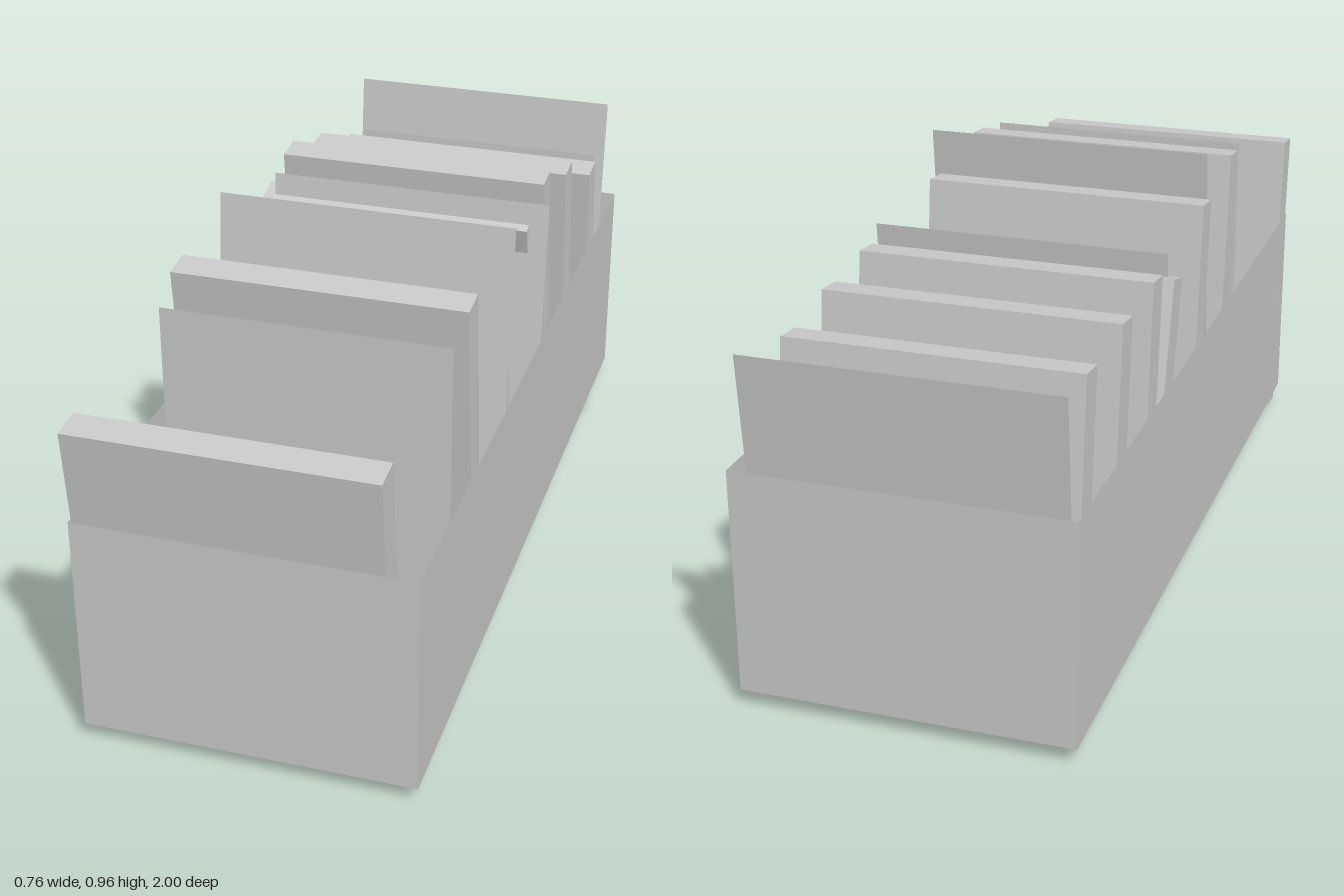
import * as THREE from 'three';

export function createModel() {
  const model = new THREE.Group();
  const material = new THREE.MeshStandardMaterial({ color: 0xcccccc, side: THREE.DoubleSide });

  function add(name, geometry, x, y, z, tilt = 0) {
    const mesh = new THREE.Mesh(geometry, material);
    mesh.name = name;
    mesh.position.set(x, y, z);
    mesh.rotation.x = tilt;
    model.add(mesh);
  }

  // Thin-walled bin: a box whose top face is left out
  const bin = new THREE.BoxGeometry(0.755, 0.52, 1.99);
  const index = Array.from(bin.index.array);
  index.splice(12, 6);
  bin.setIndex(index);
  bin.clearGroups();
  add('openBin', bin, -0.002, 0.302, -0.005);

  // Thick sleeves leaning forward: left edge x, top y, centre z, tilt
  const width = 0.68, height = 0.755, depth = 0.075;
  const sleeve = new THREE.BoxGeometry(width, height, depth);
  const sleeves = [
    [-0.38, 0.787, 0.92, 0.11],
    [-0.35, 0.902, 0.382, 0.11],
    [-0.372, 0.89, 0.006, 0.11],
    [-0.377, 0.807, -0.337, 0.27],
    [-0.372, 0.855, -0.435, 0.11],
    [-0.35, 0.818, -0.597, 0.11],
    [-0.317, 0.761, -0.745, 0.11],
  ];
  for (const [x, top, z, tilt] of sleeves) {
    const halfRise = (height * Math.cos(tilt) + depth * Math.sin(tilt)) / 2;
    add('sleeve', sleeve, x + width / 2, top - halfRise, z, tilt);
  }

  // Paper-thin sheets leaning back: centre x, top y, centre z
  const leaningSheet = new THREE.PlaneGeometry(0.7, 0.755);
  for (const [x, top, z] of [[0.01, 0.965, 0.205], [0, 0.85, -0.195], [-0.008, 0.824, -0.966]]) {
    add('leaningSheet', leaningSheet, x, top - 0.376, z, -0.093);
  }

  // Upright divider sheets
  const divider = new THREE.PlaneGeometry(0.655, 0.65);
  for (const [top, z] of [[0.873, 0.59], [0.715, -0.895]]) {
    add('divider', divider, 0.003, top - 0.325, z);
  }

  return model;
}
